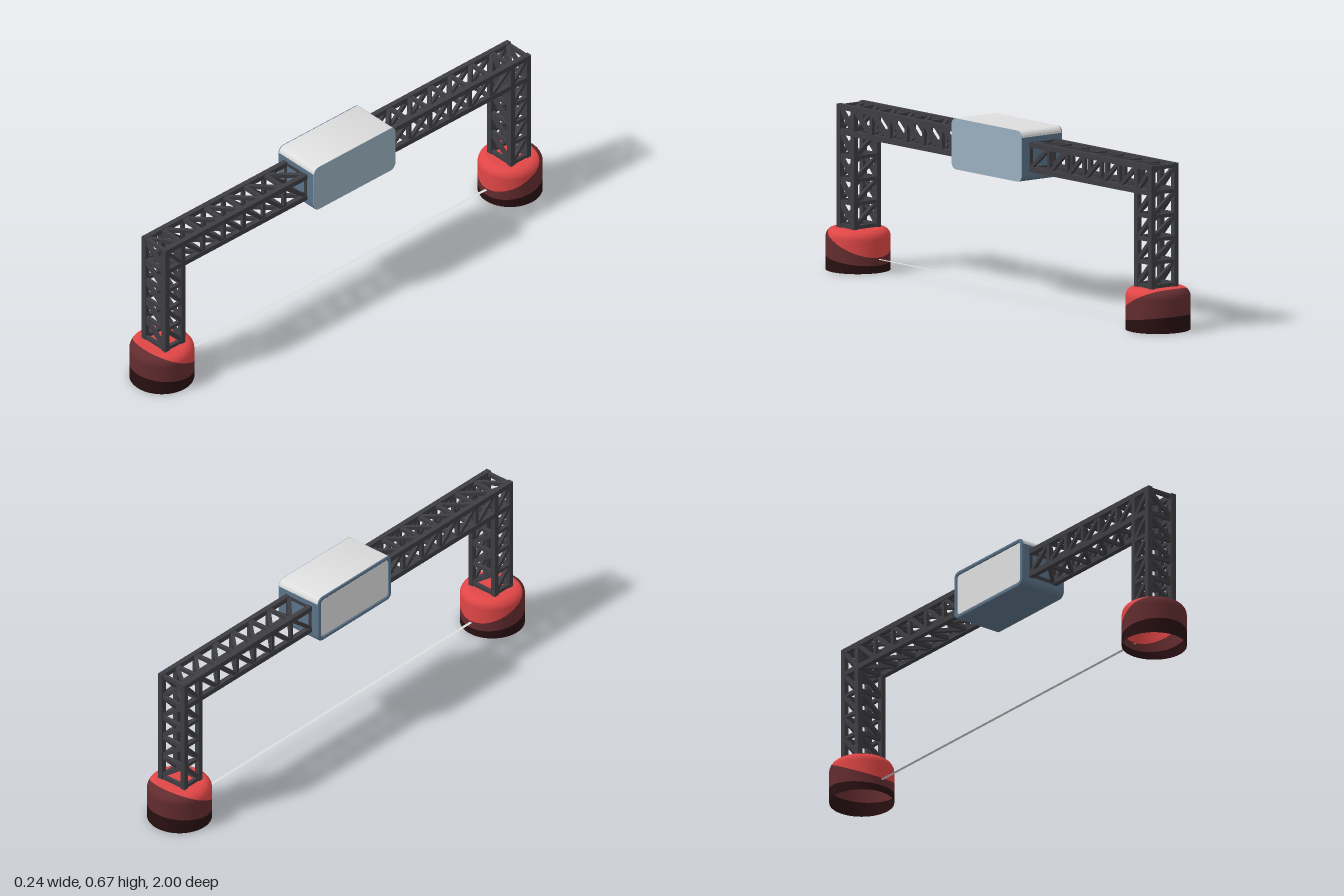
import * as THREE from 'three';
import { mergeGeometries, toCreasedNormals } from 'three/addons/utils/BufferGeometryUtils.js';
import { ParametricGeometry } from 'three/addons/geometries/ParametricGeometry.js';

function material(name, color, side = THREE.FrontSide) {
  const m = new THREE.MeshStandardMaterial({ color, side });
  m.name = name;
  return m;
}

function add(parent, name, geometry, mat) {
  const mesh = new THREE.Mesh(geometry, mat);
  mesh.name = name;
  parent.add(mesh);
  return mesh;
}

// square bar between two points
function bar(a, b, t) {
  const from = new THREE.Vector3(...a), to = new THREE.Vector3(...b);
  const o = new THREE.Object3D();
  o.position.copy(from).add(to).multiplyScalar(0.5);
  o.lookAt(to);
  o.updateMatrix();
  return new THREE.BoxGeometry(t, t, from.distanceTo(to)).applyMatrix4(o.matrix);
}

// rectangle with separate bottom and top corner radii
function roundedRect(w, y0, y1, rb, rt, Type = THREE.Shape) {
  const s = new Type(), h = w / 2;
  s.moveTo(-h + rb, y0);
  s.lineTo(h - rb, y0);
  if (rb) s.absarc(h - rb, y0 + rb, rb, -Math.PI / 2, 0);
  s.lineTo(h, y1 - rt);
  if (rt) s.absarc(h - rt, y1 - rt, rt, 0, Math.PI / 2);
  s.lineTo(-h + rt, y1);
  if (rt) s.absarc(-h + rt, y1 - rt, rt, Math.PI / 2, Math.PI);
  s.lineTo(-h, y0 + rb);
  if (rb) s.absarc(-h + rb, y0 + rb, rb, Math.PI, Math.PI * 1.5);
  return s;
}

// extrude a side outline along x
function extrudeX(shape, x0, x1, options = {}) {
  const g = new THREE.ExtrudeGeometry(shape, { depth: x1 - x0, bevelEnabled: false, curveSegments: 8, ...options });
  g.translate(0, 0, x0).rotateY(Math.PI / 2);
  return toCreasedNormals(g, 0.6);
}

export function createModel() {
  const model = new THREE.Group();
  const frame = material('charcoal frame', 0x3e3d42);
  const shell = material('steel blue', 0x5c748a);
  const panel = material('pale blue', 0x9aafbf);
  const white = material('soft white', 0xdedede, THREE.DoubleSide);
  const red = material('red', 0xe04646, THREE.DoubleSide);
  const maroon = material('maroon', 0x632c2f, THREE.DoubleSide);
  const dark = material('dark maroon', 0x280f11, THREE.DoubleSide);

  // truss dimensions
  const xs = [-0.053, 0.057], zs = [0.912, 0.83], ys = [0.614, 0.521];
  const levels = [0.168, 0.257, 0.344, 0.431, 0.521, 0.614];
  const stations = [0.912, 0.83, 0.725, 0.62, 0.52, 0.42, 0.315, 0.2];
  const T = 0.02, B = 0.014;

  for (const k of [1, -1]) {
    const side = new THREE.Group();
    side.name = k > 0 ? 'frontHalf' : 'backHalf';
    model.add(side);

    // leg: four posts, rungs and diagonals on all faces
    const leg = [];
    for (const x of xs) for (const z of zs) leg.push(bar([x, 0.14, k * z], [x, 0.624, k * z], T));
    levels.forEach((y, i) => {
      for (const z of zs) {
        leg.push(bar([xs[0], y, k * z], [xs[1], y, k * z], B));
        if (i) leg.push(bar([xs[0], y - 0.004, k * z], [xs[1], levels[i - 1] + 0.004, k * z], B));
      }
      for (const x of xs) {
        leg.push(bar([x, y, k * zs[0]], [x, y, k * zs[1]], B));
        if (i) leg.push(bar([x, y, k * zs[0]], [x, levels[i - 1], k * zs[1]], B));
      }
    });
    add(side, 'leg', mergeGeometries(leg), frame);

    // beam: four chords, struts and diagonals on all faces
    const beam = [];
    for (const x of xs) for (const y of ys) beam.push(bar([x, y, k * 0.922], [x, y, k * 0.19], T));
    stations.forEach((z, i) => {
      const next = stations[i + 1];
      for (const y of ys) {
        beam.push(bar([xs[0], y, k * z], [xs[1], y, k * z], B));
        if (next) beam.push(bar([xs[0], y, k * z], [xs[1], y, k * next], B));
      }
      if (i > 1) for (const x of xs) beam.push(bar([x, ys[0], k * z], [x, ys[1], k * z], B));
      if (i && next) for (const x of xs) beam.push(bar([x, ys[0], k * z], [x, ys[1], k * next], B));
    });
    add(side, 'beam', mergeGeometries(beam), frame);

    // hollow foot with wavy colour bands, darker on its outer side
    const foot = new THREE.Group();
    foot.name = 'foot';
    foot.position.z = k * 0.878;
    if (k < 0) foot.rotation.y = Math.PI;
    side.add(foot);
    const R = 0.121, r = 0.035, wall = 0.125, end = wall + r * Math.PI / 2;
    const low = (c) => 0.045 + 0.017 * c;
    const high = (c) => Math.min(end - 0.001, 0.118 + 0.06 * c);
    const band = (from, to) => new ParametricGeometry((u, v, p) => {
      const a = u * Math.PI * 2, c = Math.cos(a);
      const d = from(c) + (to(c) - from(c)) * v;
      const q = Math.max(0, d - wall) / r;
      const rad = R - r + r * Math.cos(q);
      p.set(Math.sin(a) * rad, Math.min(d, wall) + r * Math.sin(q), c * rad);
    }, 48, 12);
    add(foot, 'footLowerBand', band(() => 0, low), dark);
    add(foot, 'footMiddleBand', band(low, high), maroon);
    add(foot, 'footUpperBand', band(high, () => end), red);
    add(foot, 'footTop', new THREE.CircleGeometry(R - r, 48).rotateX(-Math.PI / 2).translate(0, wall + r, 0), red);
  }

  // housing in the middle of the beam
  const housing = new THREE.Group();
  housing.name = 'housing';
  model.add(housing);
  const W = 0.41, y0 = 0.475, y1 = 0.667, split = 0.642;
  add(housing, 'housingBody', extrudeX(roundedRect(W, y0, split, 0.025, 0), -0.089, 0.101), shell);
  add(housing, 'housingTop', extrudeX(roundedRect(W, split, y1, 0, 0.025), -0.089, 0.101), white);
  add(housing, 'sidePanel', extrudeX(roundedRect(W, y0, y1, 0.025, 0.025), 0.101, 0.103), panel);

  // bevelled rim around the recessed screen
  const rim = roundedRect(W, y0, y1, 0.025, 0.025);
  rim.holes.push(roundedRect(W - 0.03, y0 + 0.015, y1 - 0.015, 0.014, 0.014, THREE.Path));
  add(housing, 'screenRim', extrudeX(rim, -0.0892, -0.0888, {
    bevelEnabled: true, bevelThickness: 0.006, bevelSize: 0.005, bevelOffset: -0.005, bevelSegments: 2,
  }), shell);
  add(housing, 'screen', extrudeX(roundedRect(W - 0.034, y0 + 0.017, y1 - 0.017, 0.012, 0.012), -0.0905, -0.089), white);

  // flat line between the feet
  add(model, 'groundLine', new THREE.PlaneGeometry(0.012, 1.53).rotateX(-Math.PI / 2).translate(0, 0.052, 0), white);

  return model;
}
